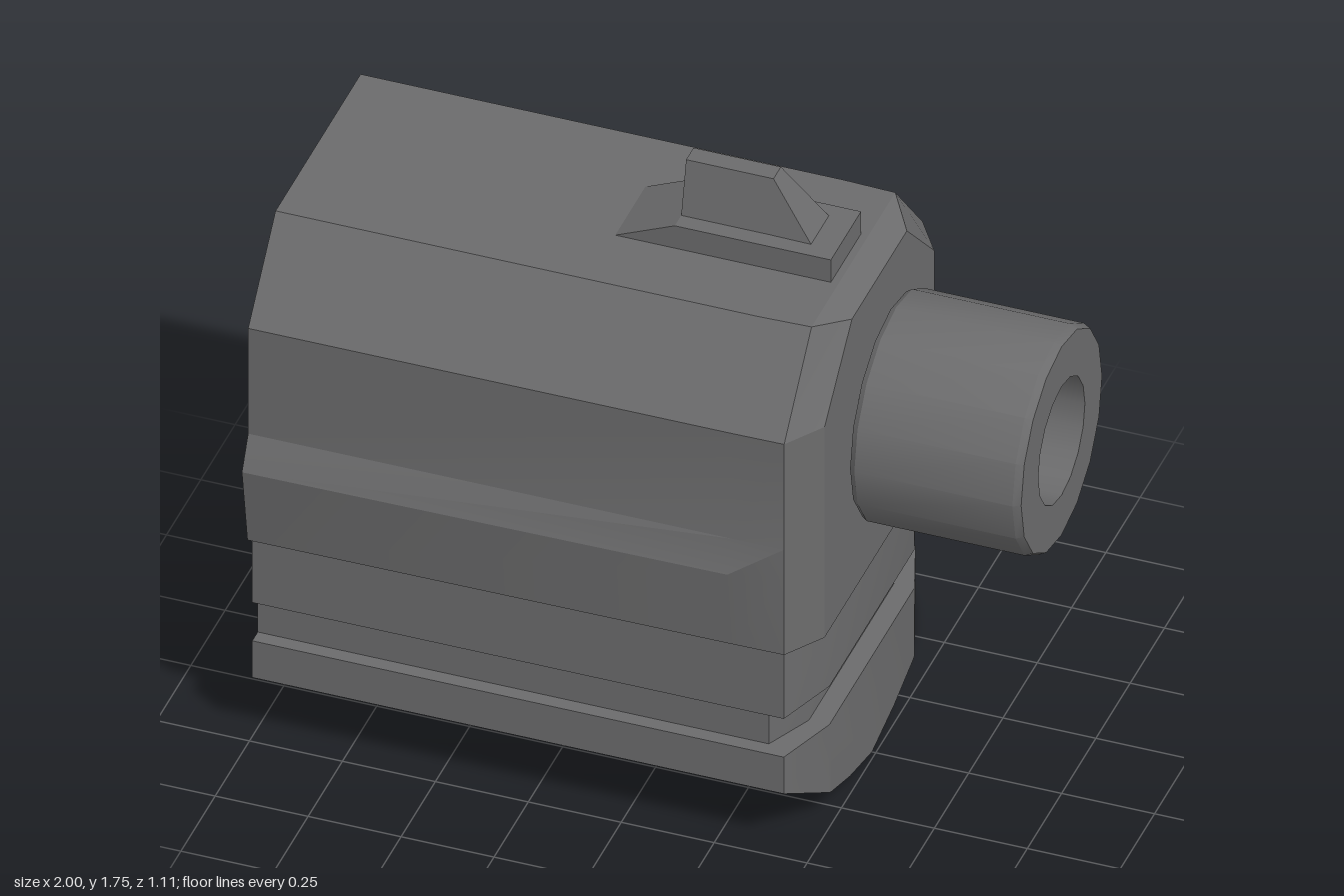
import * as THREE from 'three';
import { toCreasedNormals } from 'three/addons/utils/BufferGeometryUtils.js';

// Closed solid from mirrored cross-sections along x.
// Each section: [x, [[y, halfWidth], ...]] listed from bottom to top.
function loft(sections, crease = 0.4) {
  const rings = sections.map(([x, half]) => {
    const other = half.filter(([, z]) => z > 0).reverse().map(([y, z]) => [y, -z]);
    return [...half, ...other].map(([y, z]) => [x, y, z]);
  });
  const pos = [];
  const tri = (a, b, c) => pos.push(...a, ...b, ...c);
  for (let s = 0; s < rings.length - 1; s++) {
    const a = rings[s], b = rings[s + 1], n = a.length;
    for (let i = 0; i < n; i++) {
      const j = (i + 1) % n;
      tri(a[i], b[i], b[j]);
      tri(a[i], b[j], a[j]);
    }
  }
  const cap = (ring, flip) => {
    const outline = ring.map(([, y, z]) => new THREE.Vector2(z, y));
    for (const [i, j, k] of THREE.ShapeUtils.triangulateShape(outline, [])) {
      if (flip) tri(ring[i], ring[k], ring[j]);
      else tri(ring[i], ring[j], ring[k]);
    }
  };
  cap(rings[0], false);
  cap(rings[rings.length - 1], true);
  const geo = new THREE.BufferGeometry();
  geo.setAttribute('position', new THREE.Float32BufferAttribute(pos, 3));
  return toCreasedNormals(geo, crease);
}

export function createModel() {
  const group = new THREE.Group();
  const steel = new THREE.MeshStandardMaterial({ color: 0x6b6b6c });
  steel.name = 'darkSteel';
  const add = (name, geo) => {
    const mesh = new THREE.Mesh(geo, steel);
    mesh.name = name;
    group.add(mesh);
    return mesh;
  };

  // Slide: octagonal top, side ridges that fade out, bevelled front
  add('slide', loft([
    [-1, [[0.64, 0.515], [0.88, 0.555], [0.97, 0.51], [1.3, 0.51], [1.53, 0.31]]],
    [0.3, [[0.64, 0.507], [0.88, 0.54], [0.97, 0.507], [1.3, 0.507], [1.53, 0.31]]],
    [0.44, [[0.64, 0.505], [0.88, 0.505], [0.97, 0.505], [1.3, 0.505], [1.53, 0.305]]],
    [0.51, [[0.64, 0.4], [0.88, 0.4], [0.97, 0.4], [1.3, 0.4], [1.5, 0.2]]],
  ]));

  // Frame bands with bevelled front corners; the groove is set back all round
  const band = (name, y0, y1, width, front) => add(name, loft([
    [-1, [[y0, width], [y1, width]]],
    [front - 0.06, [[y0, width], [y1, width]]],
    [front, [[y0, 0.31], [y1, 0.31]]],
  ], 0.5));
  band('upperFrame', 0.42, 0.64, 0.48, 0.49);
  band('railGroove', 0.3, 0.42, 0.44, 0.435);

  // Rounded underside of the frame
  const belly = [[0.3, 0.48], [0.185, 0.48], [0.095, 0.33], [0.035, 0.16], [0, 0]].reverse();
  const bellyFront = [[0.3, 0.31], [0.087, 0.31], [0.08, 0.295], [0.035, 0.16], [0, 0]].reverse();
  add('lowerFrame', loft([[-1, belly], [0.43, belly], [0.49, bellyFront]], 0.55));

  // Barrel: neck, thick muzzle sleeve and bore (radius, x)
  const profile = [
    [0.19, 0.48], [0.19, 0.54], [0.295, 0.54], [0.305, 0.555], [0.305, 0.98],
    [0.295, 1], [0.17, 1], [0.17, 0.5], [0, 0.5],
  ].map(([r, x]) => new THREE.Vector2(r, x));
  const barrelGeo = toCreasedNormals(new THREE.LatheGeometry(profile, 16), 0.5);
  barrelGeo.rotateZ(-Math.PI / 2);
  add('barrel', barrelGeo).position.y = 1.105;

  // Front sight: ramped base and tapered blade
  add('sightBase', loft([
    [-0.16, [[1.51, 0.11], [1.53, 0.11]]],
    [0, [[1.51, 0.11], [1.6, 0.11]]],
    [0.42, [[1.51, 0.11], [1.6, 0.11]]],
  ], 0.2));
  add('sightBlade', loft([
    [0, [[1.59, 0.065], [1.75, 0.027]]],
    [0.235, [[1.59, 0.065], [1.75, 0.027]]],
    [0.35, [[1.59, 0.065], [1.6, 0.065]]],
  ], 0.2));

  return group;
}
